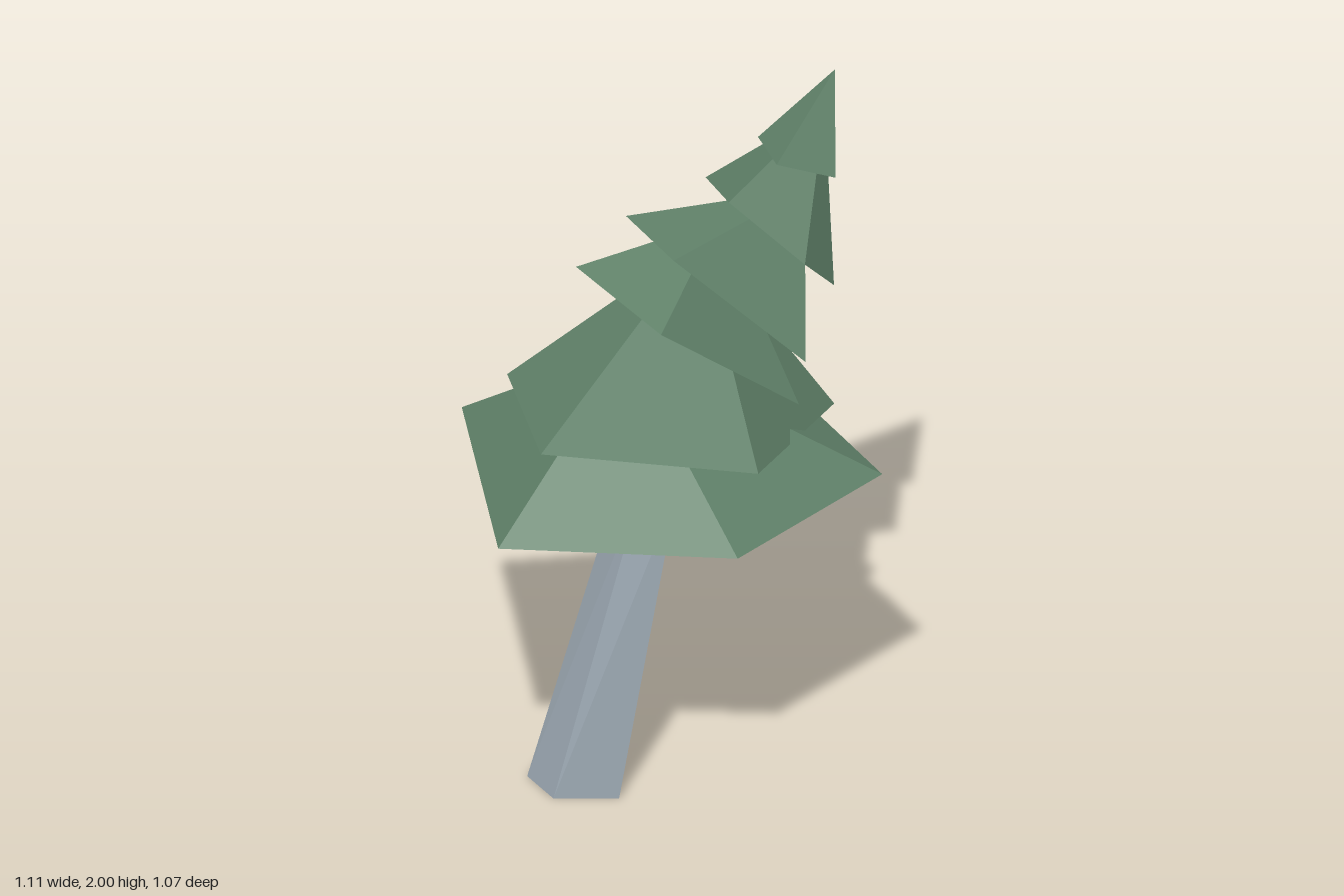
import * as THREE from 'three';

const foliage = new THREE.MeshStandardMaterial({ color: 0x5f8068, flatShading: true });
const bark = new THREE.MeshStandardMaterial({ color: 0x98a4ae, flatShading: true });

// Flat-shaded solid from a list of [a, b, c] corner triangles
function facetMesh(name, triangles, material) {
  const geometry = new THREE.BufferGeometry();
  geometry.setAttribute('position', new THREE.Float32BufferAttribute(triangles.flat(2), 3));
  geometry.computeVertexNormals();
  const mesh = new THREE.Mesh(geometry, material);
  mesh.name = name;
  return mesh;
}

// Calls fn with each edge (from, to) of a closed ring and joins the results
const around = (ring, fn) => ring.flatMap((p, i) => fn(p, ring[(i + 1) % ring.length], i));

const centreOf = (ring) => [0, 1, 2].map((k) => ring.reduce((sum, p) => sum + p[k], 0) / ring.length);

// Uneven pentagonal cone whose base lies in the tilted plane y = height - slope * x
function tier({ height, slope, rim, apex }, index) {
  const ring = rim.map(([x, z]) => [x, height - slope * x, z]);
  const centre = centreOf(ring);
  const faces = around(ring, (a, b) => [[a, b, apex], [b, a, centre]]);
  return facetMesh(`foliageTier${index + 1}`, faces, foliage);
}

// Tapered five-sided trunk between two rings, capped at both ends
function trunk(bottomRim, topRim, topY) {
  const bottom = bottomRim.map(([x, z]) => [x, 0, z]);
  const top = topRim.map(([x, z]) => [x, topY, z]);
  const low = centreOf(bottom), high = centreOf(top);
  const faces = around(bottom, (a, b, i) => {
    const c = top[i], d = top[(i + 1) % top.length];
    return [[a, b, d], [a, d, c], [b, a, low], [c, d, high]];
  });
  return facetMesh('trunk', faces, bark);
}

// Tiers from lowest to highest, rims as [x, z] corners
const tiers = [
  { height: 0.885, slope: 0, apex: [-0.07, 1.27, -0.01],
    rim: [[-0.285, -0.537], [-0.557, 0.185], [-0.02, 0.53], [0.533, 0.305], [0.535, -0.277]] },
  { height: 1.068, slope: 0.225, apex: [0.17, 1.52, -0.04],
    rim: [[-0.455, 0.235], [0.112, 0.397], [0.55, 0], [0.198, -0.45], [-0.303, -0.245]] },
  { height: 1.365, slope: 0.77, apex: [0.21, 1.58, -0.02],
    rim: [[-0.166, -0.113], [-0.09, 0.227], [0.32, 0.235], [0.38, -0.03], [0.115, -0.328]] },
  { height: 1.59, slope: 1, apex: [0.43, 1.66, 0.06],
    rim: [[-0.005, -0.134], [-0.013, 0.152], [0.303, 0.305], [0.41, 0.065], [0.23, -0.224]] },
  { height: 1.894, slope: 1.05, apex: [0.49, 1.89, 0.06],
    rim: [[0.175, 0.11], [0.342, 0.227], [0.47, 0.15], [0.455, -0.085], [0.247, -0.158]] },
  { height: 1.93, slope: 0.4, apex: [0.52, 2, 0.06],
    rim: [[0.34, -0.036], [0.3, 0.146], [0.458, 0.182], [0.525, 0], [0.485, -0.087]] },
];

export function createModel() {
  const tree = new THREE.Group();
  tree.name = 'leaningTree';
  tree.add(trunk(
    [[-0.17, 0.14], [-0.05, -0.05], [-0.19, -0.17], [-0.33, -0.08], [-0.325, 0.06]],
    [[0, 0.15], [0.11, -0.09], [0.05, -0.105], [-0.05, -0.05], [-0.06, 0.07]],
    0.9,
  ));
  tiers.forEach((t, i) => tree.add(tier(t, i)));
  return tree;
}
